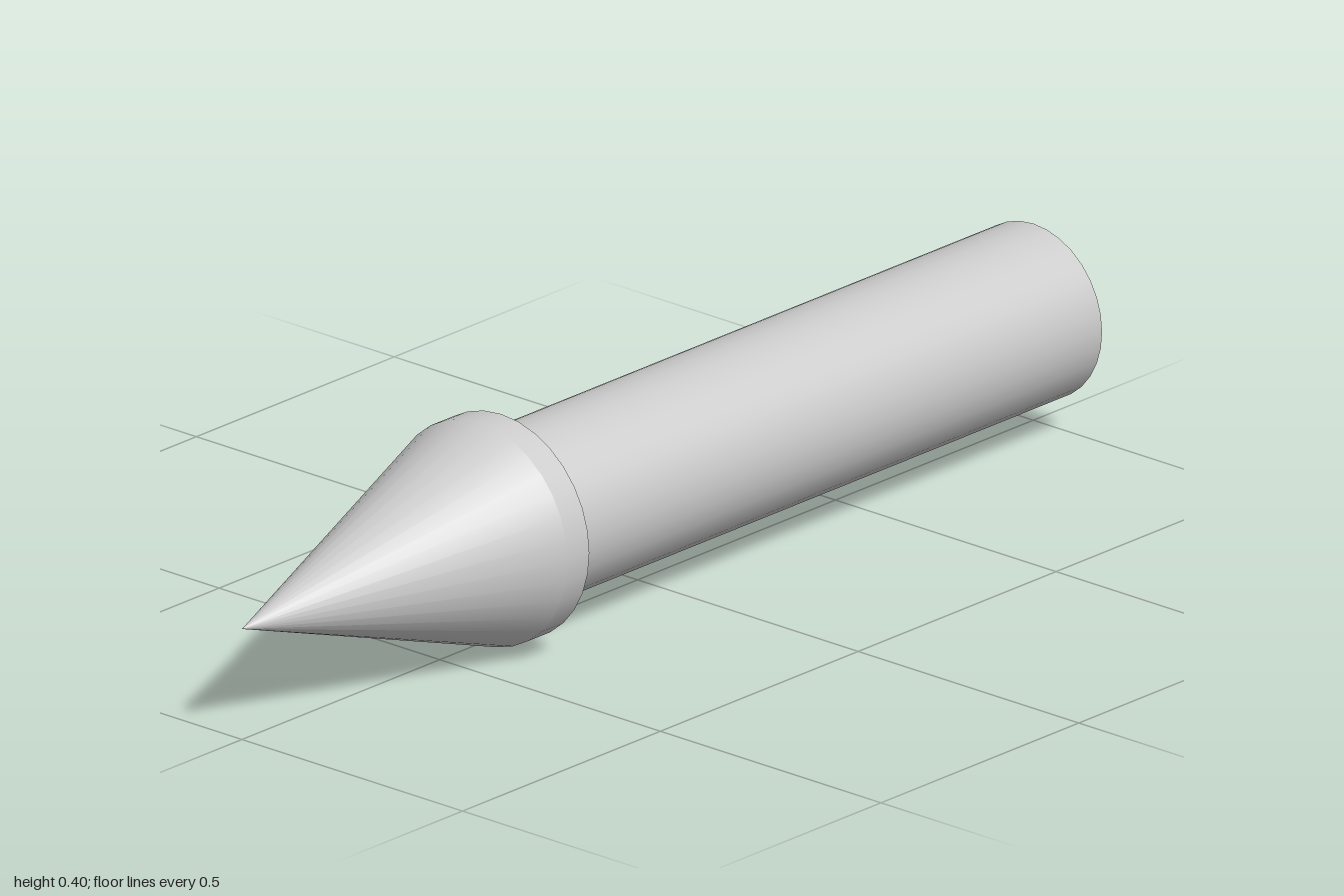
import * as THREE from 'three';

const SIDES = 32;
const AXIS_HEIGHT = 0.2;

export function createModel() {
  const group = new THREE.Group();
  group.name = 'arrow';
  const material = new THREE.MeshStandardMaterial({ color: 0xcccccc });

  // Adds a part lying along z, from zBack to zFront
  function addPart(name, geometry, zBack, zFront) {
    geometry.rotateX(Math.PI / 2);
    const mesh = new THREE.Mesh(geometry, material);
    mesh.name = name;
    mesh.position.set(0, AXIS_HEIGHT, (zBack + zFront) / 2);
    group.add(mesh);
  }

  // Round shaft with a flat back end
  addPart('shaft', new THREE.CylinderGeometry(0.156, 0.156, 1.345, SIDES), -1, 0.345);

  // Short collar behind the head
  addPart('collar', new THREE.CylinderGeometry(0.2, 0.2, 0.055, SIDES), 0.345, 0.4);

  // Pointed head
  addPart('tip', new THREE.ConeGeometry(0.2, 0.6, SIDES, 1, true), 0.4, 1);

  return group;
}
